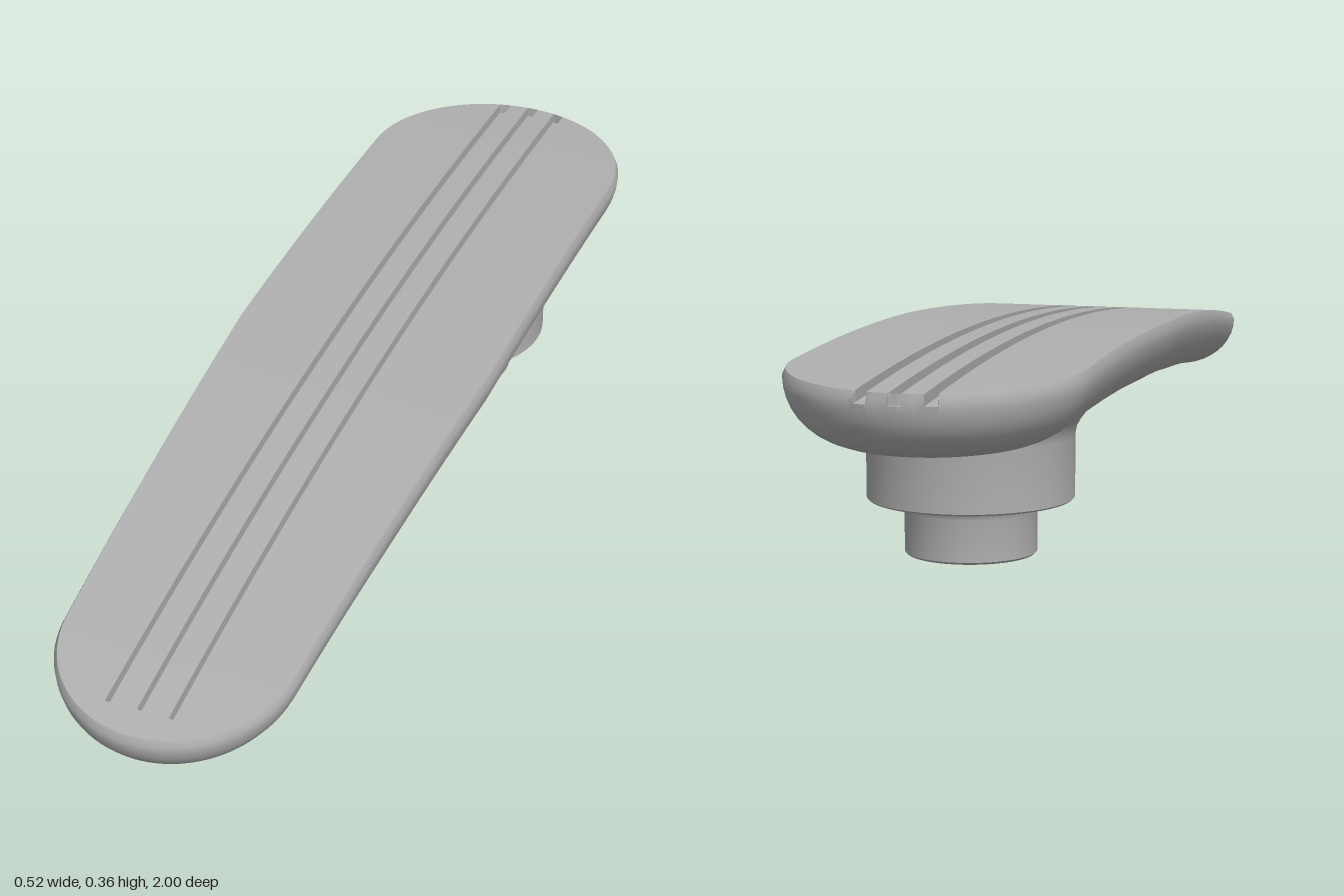
import * as THREE from 'three';
import { toCreasedNormals } from 'three/addons/utils/BufferGeometryUtils.js';

const R_BACK = 0.26, Z_BACK = -0.74, R_FRONT = 0.22, Z_FRONT = 0.78;
const RIM = 0.006, GROOVE_DEPTH = 0.02, GROOVE_END = 0.94;
const GROOVES = [[-0.07, -0.048], [-0.011, 0.011], [0.048, 0.07]];
const HOLE = { x: 0.075, z: 0.58, r: 0.034, depth: 0.025 }, PATCH = [0.52, 0.64];

// Arched top line and the thickness below it
const topY = z => 0.364 - 0.058 * (z + 0.5) ** 2 - 0.004 * (z + 0.5) ** 3;
const thickness = z => 0.126 * (1 - 0.12 * THREE.MathUtils.smoothstep(z, 0.3, 0.9));
const bottomY = z => topY(z) - thickness(z);
const inGroove = x => GROOVES.some(([a, b]) => x > a && x < b);

// Right half of the plan outline, from back tip to front tip, inset by d
const byNumber = (a, b) => a - b;
const backAngles = [], frontAngles = [], sideZ = [...PATCH];
for (let i = 0; i <= 24; i++) {
  backAngles.push(i * Math.PI / 48);
  frontAngles.push(i * Math.PI / 48);
}
for (const x of [0.011, 0.048, 0.07])
  for (const e of [-0.0005, 0.0005]) backAngles.push(Math.asin((x + e) / (R_BACK - RIM)));
for (const e of [-0.0005, 0.0005])
  frontAngles.push(Math.PI / 2 - Math.acos((GROOVE_END + e - Z_FRONT) / (R_FRONT - RIM)));
for (let i = 1; i < 24; i++) sideZ.push(Z_BACK + (Z_FRONT - Z_BACK) * i / 24);
backAngles.sort(byNumber);
frontAngles.sort(byNumber);
sideZ.sort(byNumber);

const sideWidth = z => R_BACK - (R_BACK - R_FRONT) * Math.max(0, (z + 0.05) / 0.83);

function halfOutline(d) {
  return [
    ...backAngles.map(t => [(R_BACK - d) * Math.sin(t), Z_BACK - (R_BACK - d) * Math.cos(t)]),
    ...sideZ.map(z => [sideWidth(z) - d, z]),
    ...frontAngles.map(t => [(R_FRONT - d) * Math.cos(t), Z_FRONT + (R_FRONT - d) * Math.sin(t)])
  ];
}

function buildDeck() {
  const positions = [];
  const tri = (a, b, c) => {
    const area = new THREE.Triangle(...[a, b, c].map(p => new THREE.Vector3(...p))).getArea();
    if (area > 1e-10) positions.push(...a, ...b, ...c);
  };
  const quad = (a, b, c, d) => { tri(a, b, c); tri(a, c, d); };

  // Top face in rows, with three sunken grooves open at the back
  const rows = halfOutline(RIM).map(([w, z]) => {
    const profile = [[-1, 0]];
    const g = z < GROOVE_END ? GROOVE_DEPTH : 0;
    for (const [a, b] of GROOVES) profile.push([a, 0], [a, g], [b, g], [b, 0]);
    profile.push([1, 0]);
    return profile.map(([x, drop]) => [THREE.MathUtils.clamp(x, -w, w), topY(z) - drop, z]);
  });
  for (let j = 0; j < rows.length - 1; j++)
    for (let k = 0; k < rows[j].length - 1; k++)
      quad(rows[j][k], rows[j + 1][k], rows[j + 1][k + 1], rows[j][k + 1]);

  // Sides: rim bevel, then an elliptical curve under to the flat bottom
  const steps = [[RIM, 0], [0, 0.1]];
  for (let i = 1; i <= 10; i++) {
    const t = i * Math.PI / 20;
    steps.push([0.12 * (1 - Math.cos(t)), 0.1 + 0.9 * Math.sin(t)]);
  }
  const rings = steps.map(([d, depth]) => {
    const half = halfOutline(d).map(([x, z]) => {
      const notch = z < Z_BACK && inGroove(x * (R_BACK - RIM) / (R_BACK - d)) ? GROOVE_DEPTH : 0;
      return [x, topY(z) - Math.max(depth * thickness(z), notch), z];
    });
    return [...half, ...half.map(([x, y, z]) => [-x, y, z]).reverse()];
  });
  for (let r = 0; r < rings.length - 1; r++) {
    const u = rings[r], l = rings[r + 1];
    for (let i = 0; i < u.length; i++) {
      const n = (i + 1) % u.length;
      quad(u[i], u[n], l[n], l[i]);
    }
  }

  // Flat bottom, leaving out the strip with the screw holes
  const last = rings[rings.length - 1], n = last.length;
  for (let j = 0; j < n / 2 - 1; j++) {
    const mid = (last[j][2] + last[j + 1][2]) / 2;
    if (mid > PATCH[0] && mid < PATCH[1]) continue;
    quad(last[n - 1 - j], last[j], last[j + 1], last[n - 2 - j]);
  }
  const [w0, w1] = PATCH.map(z => sideWidth(z) - 0.12);
  const strip = new THREE.Shape([[-w0, PATCH[0]], [w0, PATCH[0]], [w1, PATCH[1]], [-w1, PATCH[1]]]
    .map(p => new THREE.Vector2(...p)));
  for (const s of [-1, 1])
    strip.holes.push(new THREE.Path().absarc(s * HOLE.x * 0.8, HOLE.z, HOLE.r, 0, Math.PI * 2, true));
  const flat = new THREE.ShapeGeometry(strip, 16).toNonIndexed().attributes.position;
  const at = i => [flat.getX(i), bottomY(flat.getY(i)), flat.getY(i)];
  for (let i = 0; i < flat.count; i += 3) tri(at(i), at(i + 1), at(i + 2));

  const geometry = new THREE.BufferGeometry();
  geometry.setAttribute('position', new THREE.Float32BufferAttribute(positions, 3));
  return toCreasedNormals(geometry, 0.6);
}

function lathe(points, segments) {
  return new THREE.LatheGeometry(points.map(p => new THREE.Vector2(...p)), segments);
}

// Shallow cup that follows the slope of the underside
function buildScrewHole() {
  const geometry = lathe([[0, HOLE.depth], [HOLE.r, HOLE.depth], [HOLE.r, 0]], 32);
  const p = geometry.attributes.position;
  for (let i = 0; i < p.count; i++) p.setY(i, p.getY(i) + bottomY(HOLE.z + p.getZ(i)));
  return toCreasedNormals(geometry, 0.6);
}

export function createModel() {
  const group = new THREE.Group();
  const grey = new THREE.MeshStandardMaterial({ color: 0xb0b0b0 });
  grey.name = 'grey';
  const add = (name, geometry, x = 0, z = 0) => {
    const mesh = new THREE.Mesh(geometry, grey);
    mesh.name = name;
    mesh.position.set(x, 0, z);
    group.add(mesh);
  };

  add('deck', buildDeck());

  // Stepped round hub with small fillets
  add('hub', toCreasedNormals(lathe([
    [0, 0], [0.112, 0], [0.116, 0.004], [0.116, 0.078], [0.119, 0.089], [0.125, 0.095], [0.134, 0.098],
    [0.179, 0.098], [0.182, 0.101], [0.182, 0.21], [0.185, 0.226], [0.193, 0.24], [0.203, 0.254], [0.21, 0.27]
  ], 64), 0.6), 0, -0.535);

  for (const s of [-1, 1])
    add(s > 0 ? 'leftScrewHole' : 'rightScrewHole', buildScrewHole(), s * HOLE.x * 0.8, HOLE.z);

  return group;
}
